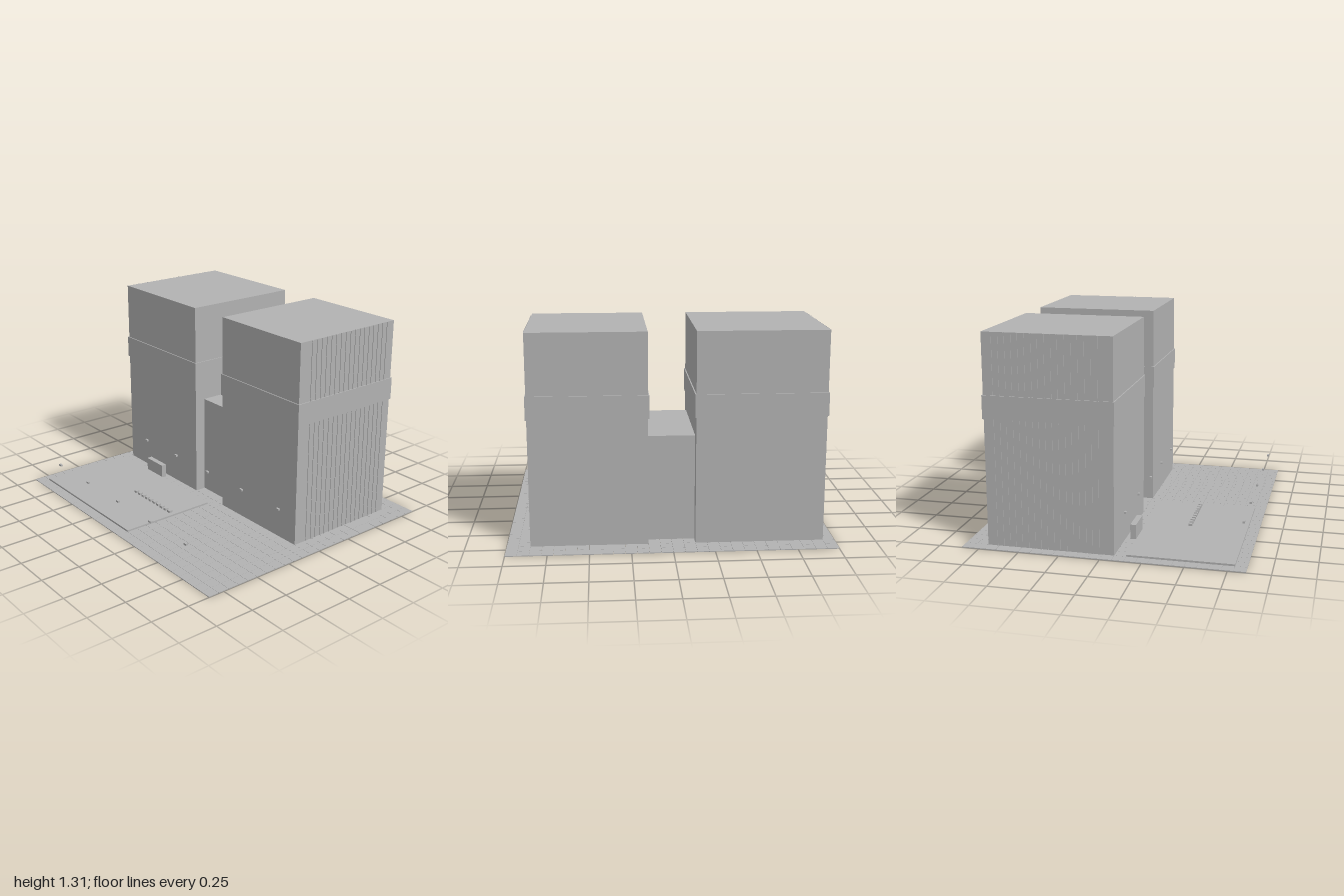
import * as THREE from 'three';
import { mergeGeometries } from 'three/addons/utils/BufferGeometryUtils.js';

export function createModel() {
  const model = new THREE.Group();
  model.name = 'twinTowers';
  const grey = new THREE.MeshStandardMaterial({ color: 0xb2b2b2 });
  grey.name = 'concreteGrey';

  // box given by its minimum and maximum on each axis
  const box = (x0, x1, y0, y1, z0, z1) =>
    new THREE.BoxGeometry(x1 - x0, y1 - y0, z1 - z0)
      .translate((x0 + x1) / 2, (y0 + y1) / 2, (z0 + z1) / 2);
  const add = (name, geometry, parent = model) => {
    const mesh = new THREE.Mesh(geometry, grey);
    mesh.name = name;
    parent.add(mesh);
  };

  const U = 1 / 14; // paving module
  const ground = 0.005;

  // paving tiles with narrow joints
  const tiles = [];
  const half = 0.0351;
  for (let i = 0; i < 28; i++) {
    for (let j = 0; j < 24; j++) {
      const x = (i - 13.5) * U, z = (j - 11.5) * U;
      tiles.push(box(x - half, x + half, 0, ground, z - half, z + half));
    }
  }
  add('pavingTiles', mergeGeometries(tiles));

  // towers with a projecting band and fins on the outer side
  const back = -10 * U, front = U, top = 1.307, lip = 0.007;
  function tower(name, x0, x1, side) {
    const group = new THREE.Group();
    group.name = name;
    add('towerBlock', box(x0, x1, ground, top, back, front), group);
    add('towerBand', box(x0 - lip, x1 + lip, 0.79, 0.932, back - lip, front + lip), group);
    const face = side > 0 ? x1 : x0;
    const fins = [];
    for (let i = 0; i < 17; i++) {
      const z = -0.022 - i * 0.0396;
      fins.push(box(face - 0.004, face + 0.004, ground, top, z - 0.004, z + 0.004));
    }
    add('facadeFins', mergeGeometries(fins), group);
    model.add(group);
  }
  tower('rightTower', -13 * U, -2 * U, -1);
  tower('leftTower', 2 * U, 12 * U, 1);

  // lower block joining the towers
  add('linkBuilding', box(-2 * U, 2 * U, ground, 0.664, -9 * U, 0));

  // raised plaza, upright slab and row of bollards
  add('plaza', box(-13 * U, U, ground, 0.016, 2 * U, 11 * U));
  add('signSlab', box(-0.643, -0.464, ground, 0.097, 0.1, 0.136));
  for (let i = 0; i < 10; i++) {
    const x = -0.357 + i * 0.0429;
    add('bollard', box(x - 0.0125, x + 0.0125, 0.016, 0.031, 0.413, 0.437));
  }

  // two rows of hanging lamps
  for (const z of [0.088, 0.804]) {
    for (let i = -2; i <= 2; i++) {
      const x = i * 5 * U;
      add('lamp', box(x - 0.012, x + 0.012, 0.194, 0.206, z - 0.007, z + 0.007));
    }
  }
  return model;
}
